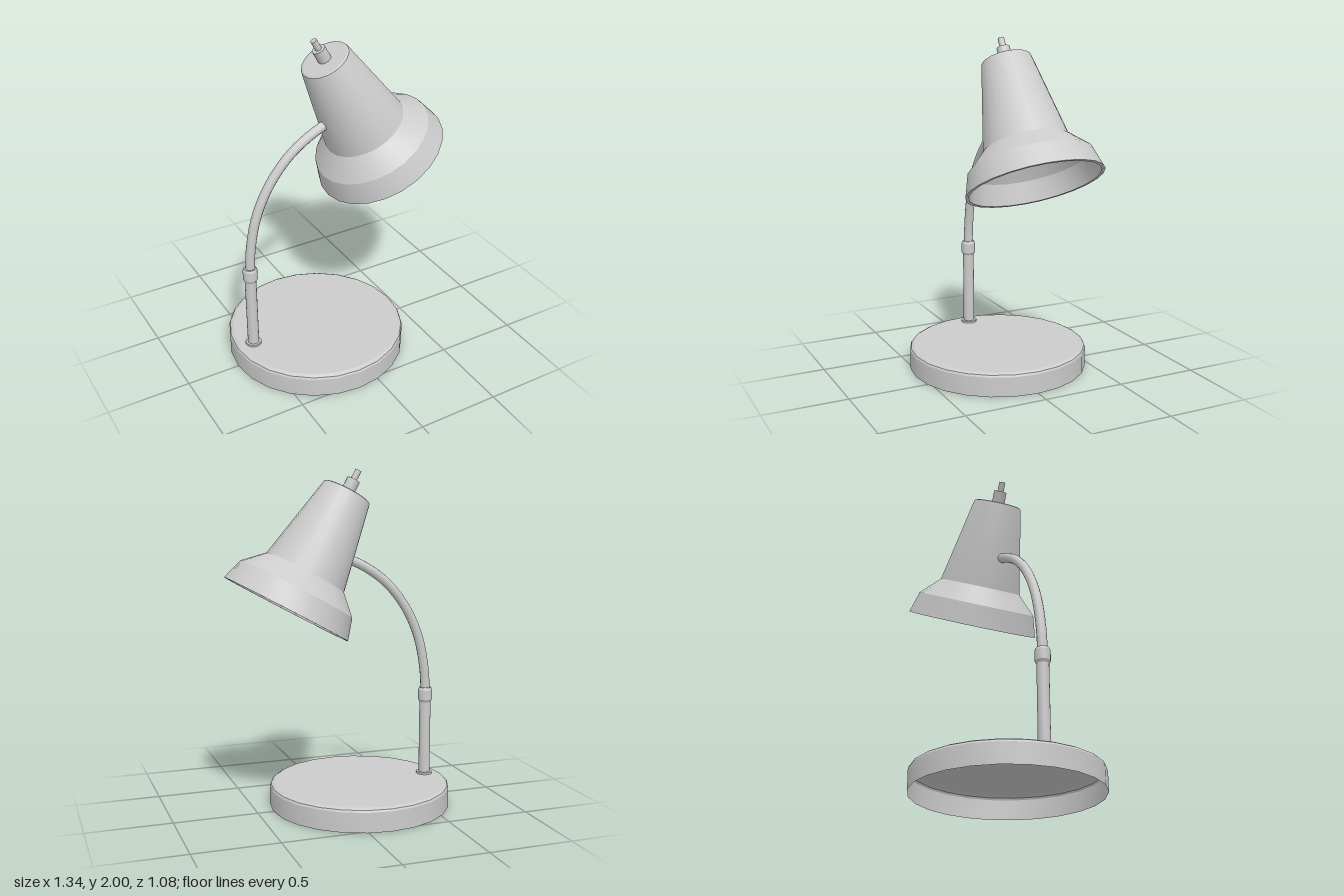
import * as THREE from 'three';
import { toCreasedNormals } from 'three/addons/utils/BufferGeometryUtils.js';

const material = new THREE.MeshStandardMaterial({ color: 0xcccccc, side: THREE.DoubleSide });

function addMesh(parent, name, geometry) {
  const mesh = new THREE.Mesh(geometry, material);
  mesh.name = name;
  parent.add(mesh);
  return mesh;
}

// Turned part from [radius, height] pairs, with sharp profile edges.
function lathe(profile, sides) {
  const points = profile.map(([r, y]) => new THREE.Vector2(r, y));
  return toCreasedNormals(new THREE.LatheGeometry(points, sides), 0.42);
}

export function createModel() {
  const lamp = new THREE.Group();
  lamp.name = 'deskLamp';

  // Hollow round base, open underneath
  const base = addMesh(lamp, 'base', lathe([
    [0.54, 0], [0.54, 0.118], [0.534, 0.13], [0.515, 0.14], [0, 0.14],
  ], 24));
  base.position.x = -0.135;

  // Upright post with foot flange and collar
  const post = addMesh(lamp, 'post', lathe([
    [0, 0.132], [0.048, 0.132], [0.048, 0.152], [0.034, 0.152], [0.034, 0.595],
    [0.043, 0.61], [0.043, 0.67], [0.036, 0.685], [0, 0.685],
  ], 16));
  post.position.x = -0.565;

  // Curved neck running into the side of the shade
  const curve = new THREE.CatmullRomCurve3([
    [-0.565, 0.66], [-0.555, 0.8], [-0.513, 1.0], [-0.43, 1.18],
    [-0.305, 1.335], [-0.17, 1.433], [-0.05, 1.49],
  ].map(([x, y]) => new THREE.Vector3(x, y, 0)));
  addMesh(lamp, 'neck', new THREE.TubeGeometry(curve, 24, 0.028, 12, false));

  // Tilted head: origin at the centre of the shade opening
  const head = new THREE.Group();
  head.name = 'head';
  head.position.set(0.32, 1.205, -0.018);
  head.rotation.z = THREE.MathUtils.degToRad(29.1);
  lamp.add(head);

  // Stepped shade, inner wall first, then rim and outer wall
  addMesh(head, 'shade', lathe([
    [0, 0.745], [0.132, 0.745], [0.232, 0.236], [0.342, 0.122], [0.38, 0],
    [0.4, 0], [0.361, 0.129], [0.25, 0.238], [0.149, 0.748],
    [0.145, 0.758], [0.134, 0.763], [0, 0.763],
  ], 24));

  // Switch on top of the shade
  const socket = addMesh(head, 'switchCollar', new THREE.CylinderGeometry(0.039, 0.039, 0.085, 16));
  socket.position.y = 0.7975;
  const knob = addMesh(head, 'switchStem', new THREE.CylinderGeometry(0.019, 0.019, 0.07, 12));
  knob.position.y = 0.865;

  return lamp;
}
